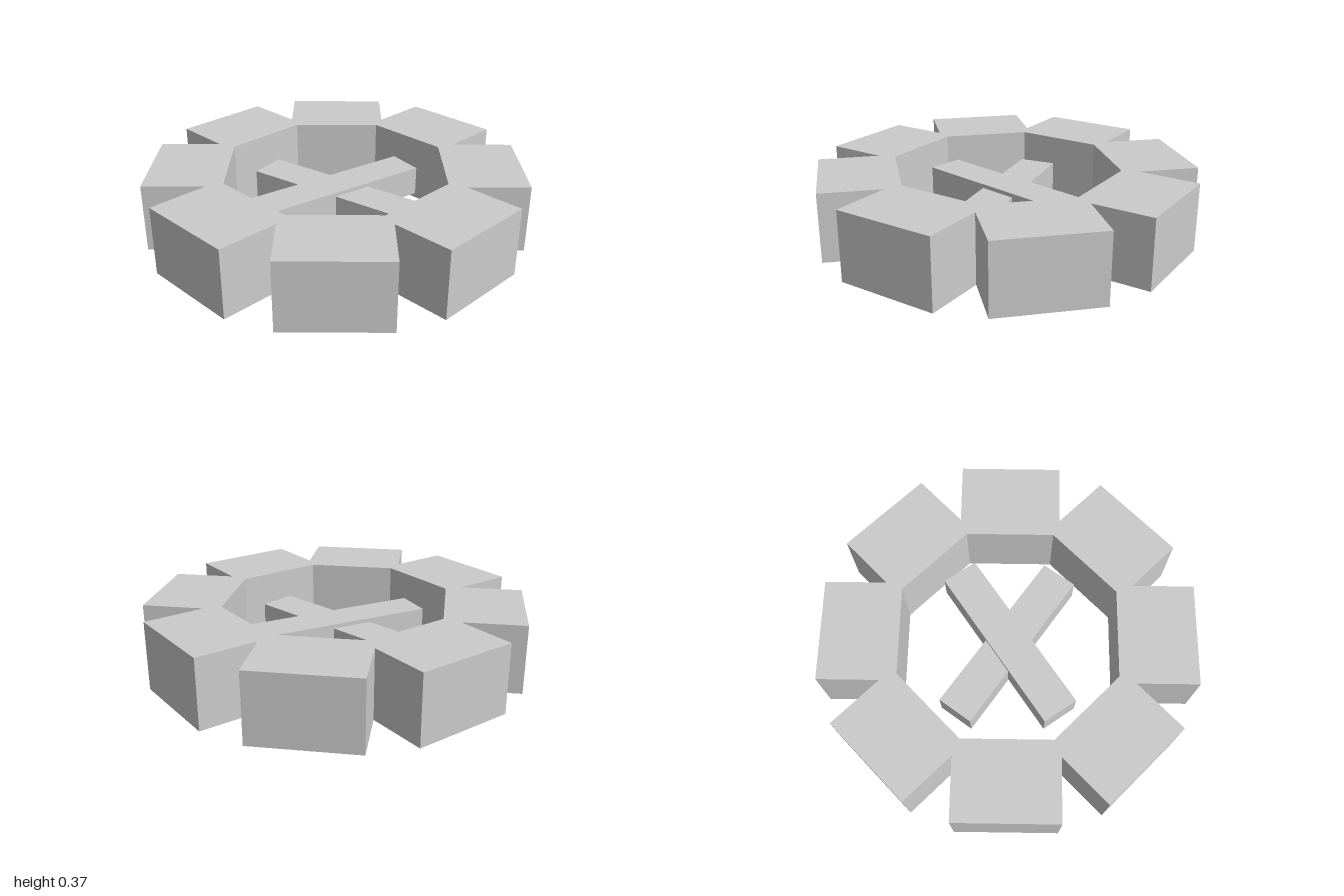
import * as THREE from 'three';

const HEIGHT = 0.373;   // ring height
const OUTER = 1;        // distance to the outer face of each block
const INNER = 0.58;     // distance to the inner face of each block
const HALF = 0.277;     // half width of a block
const TAN = Math.tan(Math.PI / 8);

export function createModel() {
  const group = new THREE.Group();
  const material = new THREE.MeshStandardMaterial({ color: 0xcccccc, flatShading: true });

  // Ring of eight blocks: toothed outline with an octagonal hole
  const outline = [], hole = [];
  for (let i = 0; i < 8; i++) {
    const a = i * Math.PI / 4;
    const at = (r, s) => new THREE.Vector2(
      r * Math.cos(a) - s * Math.sin(a), r * Math.sin(a) + s * Math.cos(a));
    outline.push(at(OUTER, -HALF), at(OUTER, HALF), at(HALF / TAN, HALF));
    hole.push(at(INNER, INNER * TAN));
  }
  const shape = new THREE.Shape(outline);
  shape.holes.push(new THREE.Path(hole));
  const ringGeometry = new THREE.ExtrudeGeometry(shape, { depth: HEIGHT, bevelEnabled: false });
  ringGeometry.rotateX(-Math.PI / 2);
  const ring = new THREE.Mesh(ringGeometry, material);
  ring.name = 'toothedRing';
  group.add(ring);

  // Two crossed bars, one slightly higher than the other
  const barGeometry = new THREE.BoxGeometry(0.975, 0.16, 0.203);
  for (const [name, side, y] of [['upperBar', 1, 0.182], ['lowerBar', -1, 0.16]]) {
    const bar = new THREE.Mesh(barGeometry, material);
    bar.name = name;
    bar.position.y = y;
    bar.rotation.y = side * THREE.MathUtils.degToRad(35);
    group.add(bar);
  }
  return group;
}
